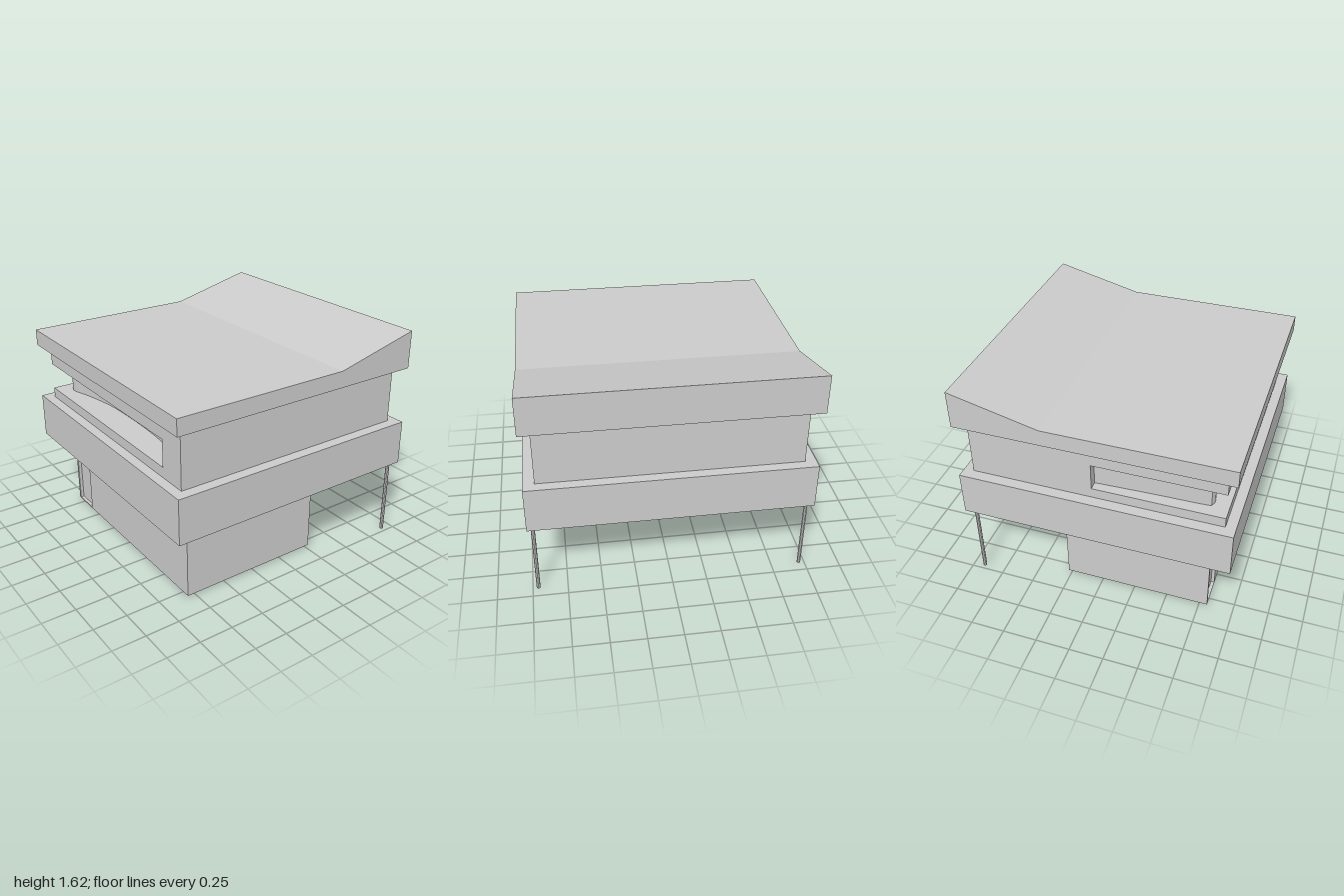
import * as THREE from 'three';
import { toCreasedNormals } from 'three/addons/utils/BufferGeometryUtils.js';

export function createModel() {
  const model = new THREE.Group();
  const material = new THREE.MeshStandardMaterial({ color: 0xcccccc });

  const add = (name, geometry, x = 0, y = 0, z = 0) => {
    const mesh = new THREE.Mesh(geometry, material);
    mesh.name = name;
    mesh.position.set(x, y, z);
    model.add(mesh);
    return mesh;
  };

  // Plans are lists of [x, z]; they are raised from y0 to y1.
  const toPoints = (plan) => plan.map(([x, z]) => new THREE.Vector2(x, -z));
  const rect = (x0, x1, z0, z1) => [[x0, z0], [x0, z1], [x1, z1], [x1, z0]];
  const raise = (name, plan, y0, y1, holes = []) => {
    const shape = new THREE.Shape(toPoints(plan));
    holes.forEach((h) => shape.holes.push(new THREE.Path(toPoints(h))));
    const geometry = new THREE.ExtrudeGeometry(shape, { depth: y1 - y0, bevelEnabled: false });
    geometry.rotateX(-Math.PI / 2);
    return add(name, toCreasedNormals(geometry, 0.6), 0, y0, 0);
  };

  // Hollow ground floor with a shallow door recess in its front
  const ground = rect(-0.82, 0.82, -0.275, 0.81);
  const groundDoor = [
    [-0.82, -0.275], [-0.82, 0.81], [-0.8, 0.81], [-0.8, 0.785],
    [-0.6, 0.785], [-0.6, 0.81], [0.82, 0.81], [0.82, -0.275],
  ];
  const cavity = [rect(-0.71, 0.71, -0.165, 0.7)];
  raise('groundFloorSill', ground, 0.01, 0.02, cavity);
  raise('groundFloorWithDoorway', groundDoor, 0.02, 0.4, cavity);
  raise('groundFloorTop', ground, 0.4, 0.58, cavity);

  // Inner core: a frame divided into three cells
  const cells = [-0.49, -0.17, 0.15].map((x) => rect(x, x + 0.22, 0.06, 0.44));
  raise('innerCore', rect(-0.57, 0.45, -0.015, 0.515), 0.02, 0.58, cells);

  // Overhanging first floor band
  add('floorBand', new THREE.BoxGeometry(2, 0.335, 1.966), 0, 0.7475, 0);

  // Upper storey, with a window band wrapping round its front right corner
  const storey = rect(-0.92, 0.92, -0.91, 0.91);
  const innerWall = new THREE.SplineCurve([
    [0.705, 0.91], [0.62, 0.81], [0.45, 0.735], [0.15, 0.705], [-0.3, 0.71], [-0.6, 0.76],
    [-0.75, 0.802], [-0.815, 0.795], [-0.832, 0.74], [-0.84, 0.4], [-0.855, -0.02],
  ].map(([x, z]) => new THREE.Vector2(x, z)));
  const recessed = [
    [0.92, -0.91], [0.92, 0.91],
    ...innerWall.getPoints(50).map((p) => [p.x, p.y]),
    [-0.92, -0.02], [-0.92, -0.91],
  ];
  raise('upperStoreyParapet', storey, 0.915, 0.99);
  raise('upperStoreyWindowWall', recessed, 0.99, 1.19);
  raise('upperStoreyLintel', storey, 1.19, 1.34);

  // Roof slab, flat in front and rising towards the back
  const roofProfile = new THREE.Shape([
    [-0.983, 1.34], [0.983, 1.34], [0.983, 1.62], [0.335, 1.462], [-0.983, 1.462],
  ].map(([x, y]) => new THREE.Vector2(x, y)));
  const roof = new THREE.ExtrudeGeometry(roofProfile, { depth: 2, bevelEnabled: false });
  roof.translate(0, 0, -1).rotateY(Math.PI / 2);
  add('roof', roof);

  // Slim rear posts
  for (const side of [-1, 1]) {
    add(side > 0 ? 'leftPost' : 'rightPost',
      toCreasedNormals(new THREE.CylinderGeometry(0.014, 0.014, 0.58, 8), 0.5), side * 0.96, 0.29, -0.915);
  }

  return model;
}
